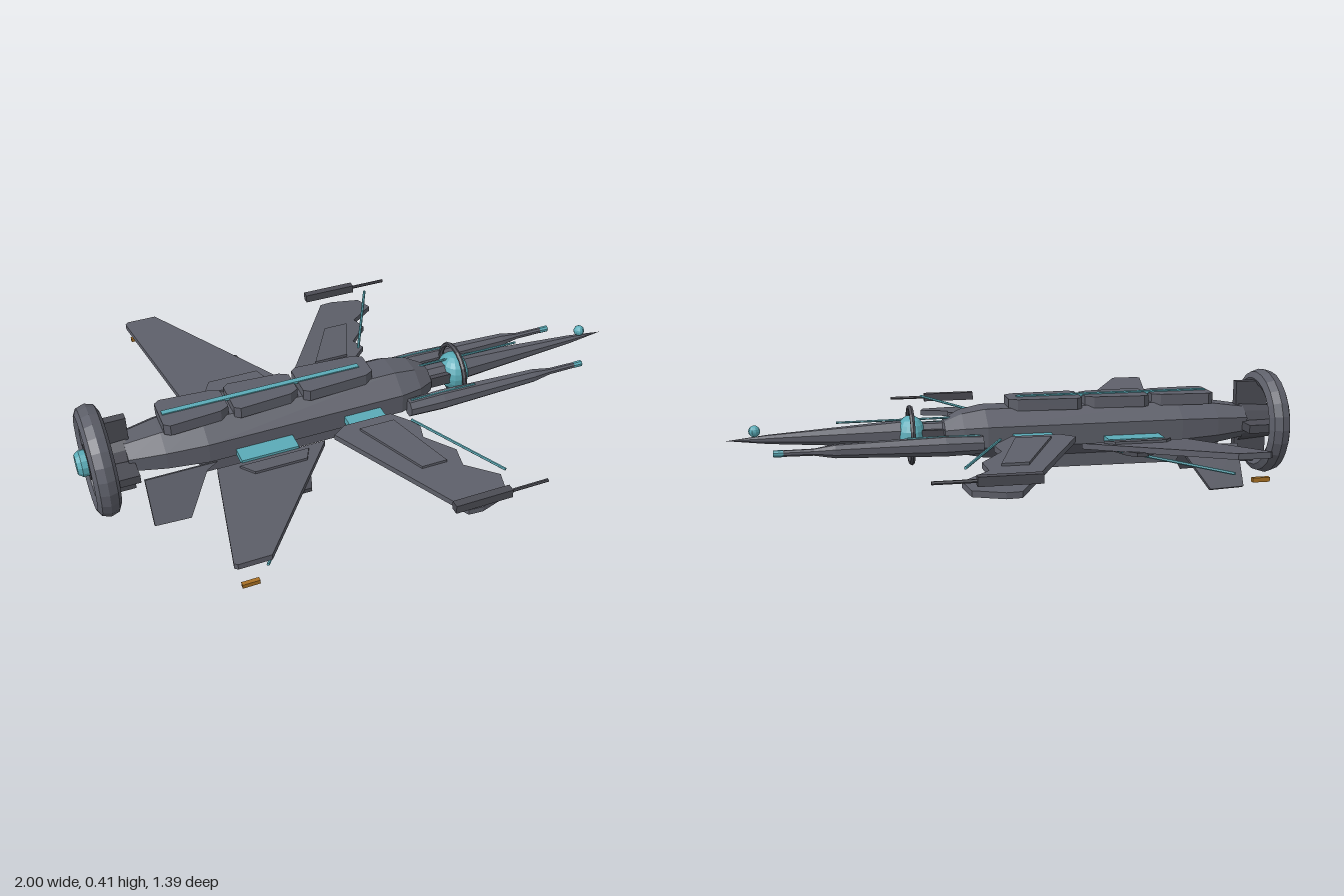
import * as THREE from 'three';

const mat = (name, color) => {
  const m = new THREE.MeshStandardMaterial({ color, flatShading: true });
  m.name = name;
  return m;
};

export function createModel() {
  const ship = new THREE.Group();
  ship.name = 'starfighter';
  const hull = mat('hull grey', 0x5d5f69);
  const dark = mat('dark grey', 0x4b4c54);
  const teal = mat('teal glow', 0x5aabb7);
  const amber = mat('amber light', 0xa87024);

  const add = (name, geo, material, x = 0, y = 0, z = 0) => {
    const m = new THREE.Mesh(geo, material);
    m.name = name;
    m.position.set(x, y, z);
    ship.add(m);
    return m;
  };
  const box = (name, material, x0, x1, y0, y1, z0, z1) =>
    add(name, new THREE.BoxGeometry(x1 - x0, y1 - y0, Math.abs(z1 - z0)), material,
      (x0 + x1) / 2, (y0 + y1) / 2, (z0 + z1) / 2);
  // Turned body along x from [x, radius] pairs
  const turned = (name, material, profile, sides, y, z = 0, scaleY = 1) => {
    const geo = new THREE.LatheGeometry(profile.map(([x, r]) => new THREE.Vector2(r, x)), sides);
    geo.rotateY(Math.PI / sides).rotateZ(-Math.PI / 2).scale(1, scaleY, 1);
    return add(name, geo, material, 0, y, z);
  };
  const hoop = (name, material, x, y, R, r, widthScale, tubeSides, sides) =>
    add(name, new THREE.TorusGeometry(R, r, tubeSides, sides).rotateY(Math.PI / 2).scale(widthScale, 1, 1),
      material, x, y);
  // Thin bar between two points
  const bar = (name, material, a, b, r) => {
    const p = new THREE.Vector3(...a), q = new THREE.Vector3(...b);
    const m = add(name, new THREE.CylinderGeometry(r, r, p.distanceTo(q), 6), material);
    m.position.copy(p).add(q).multiplyScalar(0.5);
    m.quaternion.setFromUnitVectors(new THREE.Vector3(0, 1, 0), q.sub(p).normalize());
  };
  // Flat plate from an [x, z] outline, raised by y0 + slope * |z|
  const plate = (name, material, outline, thick, y0, slope = 0, side = 1) => {
    const shape = new THREE.Shape(outline.map(([x, z]) => new THREE.Vector2(x, z)));
    const geo = new THREE.ExtrudeGeometry(shape, { depth: thick, bevelEnabled: false });
    geo.translate(0, 0, -thick / 2).rotateX(side * Math.PI / 2);
    const p = geo.attributes.position;
    for (let i = 0; i < p.count; i++) p.setY(i, p.getY(i) + y0 + slope * Math.abs(p.getZ(i)));
    geo.computeVertexNormals();
    return add(name, geo, material);
  };

  // Fuselage, neck and nose
  turned('fuselage', hull, [[-0.84, 0], [-0.84, 0.085], [-0.72, 0.112], [-0.58, 0.13], [0.12, 0.13],
    [0.2, 0.108], [0.26, 0.065], [0.28, 0]], 8, 0.22, 0, 0.72);
  turned('neck', hull, [[0.24, 0.04], [0.36, 0.04]], 8, 0.22);
  for (const s of [-1, 1]) box('neckBrace', dark, 0.24, 0.34, 0.2, 0.24, s * 0.03, s * 0.05);
  add('sensorCore', new THREE.SphereGeometry(0.07, 16, 10).scale(0.78, 1, 1), teal, 0.375, 0.215);
  hoop('sensorHoop', dark, 0.375, 0.215, 0.097, 0.009, 1, 6, 20);
  turned('noseCone', hull, [[0.41, 0], [0.41, 0.048], [0.6, 0.034], [0.86, 0.016], [1, 0]], 8, 0.222);
  add('noseBeacon', new THREE.SphereGeometry(0.02, 10, 8), teal, 0.905, 0.252);
  bar('noseStrip', teal, [0.2, 0.272, 0], [0.63, 0.27, 0], 0.004);

  // Belly fairing
  const belly = new THREE.Shape([[-0.62, 0.15], [-0.58, 0.085], [0, 0.088], [0.05, 0.12], [0.2, 0.16]]
    .map(([x, y]) => new THREE.Vector2(x, y)));
  add('bellyFairing', new THREE.ExtrudeGeometry(belly, { depth: 0.1, bevelEnabled: false }), hull, 0, 0, -0.05);

  // Dorsal armour with a light strip
  for (const [a, b] of [[-0.71, -0.485], [-0.47, -0.24], [-0.225, 0.035]]) {
    plate('dorsalPanel', hull, [[a, -0.06], [a + 0.02, -0.075], [b - 0.03, -0.062], [b, -0.045],
      [b, 0.045], [b - 0.03, 0.062], [a + 0.02, 0.075], [a, 0.06]], 0.04, 0.318);
  }
  box('dorsalLight', teal, -0.7, 0, 0.333, 0.342, -0.01, 0.01);

  // Engine ring, hub and struts
  hoop('engineRing', hull, -0.93, 0.213, 0.161, 0.031, 1.3, 8, 24);
  hoop('engineGlowRing', teal, -0.93, 0.213, 0.129, 0.007, 1, 6, 24);
  turned('engineHub', dark, [[-0.965, 0], [-0.965, 0.06], [-0.83, 0.07]], 12, 0.215);
  turned('engineCore', teal, [[-1, 0], [-1, 0.034], [-0.985, 0.045], [-0.95, 0.045]], 12, 0.215);
  for (let i = 0; i < 4; i++) {
    const strut = new THREE.BoxGeometry(0.12, 0.095, 0.03).translate(-0.88, 0.103, 0);
    add('ringStrut', strut.rotateX(i * Math.PI / 2), dark, 0, 0.215);
  }

  const rearWing = [[-0.67, 0.675], [-0.66, 0.685], [-0.555, 0.685], [-0.195, 0.18], [-0.575, 0.18]];
  const rearPanel = [[-0.505, 0.21], [-0.47, 0.265], [-0.29, 0.265], [-0.265, 0.21]];
  const rearPod = [[-0.5, 0.2], [-0.36, 0.4], [-0.325, 0.4], [-0.305, 0.34], [-0.3, 0.2]];
  const frontWing = [[-0.168, 0.2], [-0.12, 0.17], [0.05, 0.17], [0.125, 0.25], [0.11, 0.31], [0.19, 0.4],
    [0.18, 0.47], [0.278, 0.55], [0.26, 0.625], [0.16, 0.655], [0.11, 0.652]];
  const frontPanel = [[-0.08, 0.21], [0.045, 0.44], [0.135, 0.44], [0.045, 0.21]];

  for (const s of [-1, 1]) {
    const flip = (o) => o;
    // Rear wing, rising outward
    plate('rearWing', hull, flip(rearWing), 0.02, 0.166, 0.135, s);
    plate('rearWingPanel', hull, rearPanel, 0.012, 0.179, 0.135, s);
    plate('rearWingPod', dark, rearPod, 0.014, 0.152, 0.135, s);
    bar('rearWingLight', teal, [-0.56, 0.196, s * 0.65], [-0.23, 0.196, s * 0.2], 0.005);
    box('wingTipLight', amber, -0.655, -0.6, 0.178, 0.192, s * 0.683, s * 0.697);

    // Front wing, falling outward
    plate('frontWing', hull, frontWing, 0.02, 0.245, -0.12, s);
    plate('frontWingPanel', hull, frontPanel, 0.012, 0.258, -0.12, s);
    bar('frontWingLight', teal, [0.1, 0.24, s * 0.235], [0.272, 0.24, s * 0.585], 0.005);
    box('wingGun', dark, 0.05, 0.25, 0.205, 0.235, s * 0.65, s * 0.678);
    bar('gunBarrel', dark, [0.25, 0.22, s * 0.664], [0.385, 0.22, s * 0.664], 0.006);

    // Glowing wing roots
    box('rearWingRoot', teal, -0.49, -0.29, 0.185, 0.21, s * 0.1, s * 0.185);
    box('frontWingRoot', teal, -0.1, 0.035, 0.205, 0.23, s * 0.1, s * 0.18);

    // Side cannon booms
    turned('sideBoom', hull, [[0.14, 0], [0.14, 0.032], [0.27, 0.036], [0.64, 0.024], [0.71, 0.012],
      [0.82, 0.011]], 8, 0.2, s * 0.125);
    turned('boomTip', teal, [[0.81, 0.012], [0.843, 0.012], [0.843, 0]], 8, 0.2, s * 0.125);
    bar('boomLight', teal, [0.15, 0.232, s * 0.125], [0.4, 0.231, s * 0.125], 0.004);

    // Ventral fin, splayed outward
    const fin = new THREE.Shape([[-0.8, 0], [-0.8, -0.16], [-0.675, -0.165], [-0.59, -0.02], [-0.55, 0]]
      .map(([x, y]) => new THREE.Vector2(x, y)));
    const finGeo = new THREE.ExtrudeGeometry(fin, { depth: 0.016, bevelEnabled: false });
    finGeo.translate(0, 0, -0.008).rotateX(-s * 0.48);
    add('ventralFin', finGeo, hull, 0, 0.15, s * 0.085);
  }
  return ship;
}
